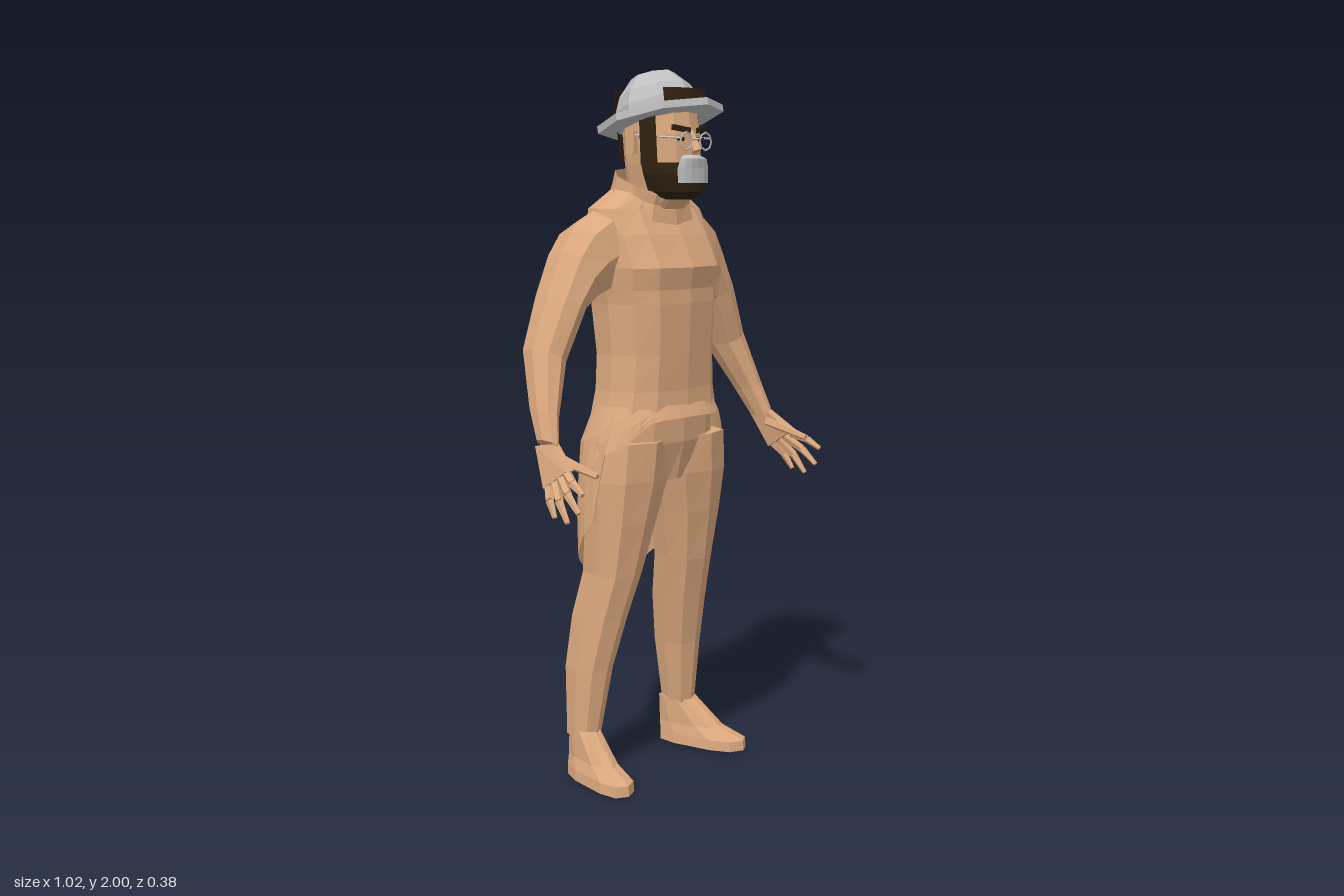
import * as THREE from 'three';
import { ConvexGeometry } from 'three/addons/geometries/ConvexGeometry.js';

const V = (x, y, z) => new THREE.Vector3(x, y, z);
const mat = (name, color, side = THREE.FrontSide) =>
  new THREE.MeshStandardMaterial({ name, color, side });

// Ring spanning inner point (xi,yi) to outer point (xo,yo), front zf to back zb
function ring([xi, yi, xo, yo, zf, zb], n, p = 0.85, a0 = 0, a1 = 360) {
  const full = a1 - a0 === 360, pts = [];
  const pw = (v) => Math.sign(v) * Math.abs(v) ** p;
  for (let i = 0; i < (full ? n : n + 1); i++) {
    const a = (a0 + ((a1 - a0) * i) / n) * Math.PI / 180;
    const t = (1 + pw(Math.sin(a))) / 2;
    pts.push(V(xi + (xo - xi) * t, yi + (yo - yi) * t, (zf + zb) / 2 + pw(Math.cos(a)) * (zf - zb) / 2));
  }
  return pts;
}
// Centred ring from [y, half width, front z, back z]
const sym = ([y, r, zf, zb]) => [-r, y, r, y, zf, zb];

// Faceted skin over a stack of rings, lowest first; s = -1 mirrors it
function loft(rings, { closed = true, caps = closed, s = 1 } = {}) {
  const R = rings.map((r) => {
    const q = r.map((p) => V(p.x * s, p.y, p.z));
    return s < 0 ? q.reverse() : q;
  });
  const out = [], n = R[0].length;
  const tri = (...v) => v.forEach((p) => out.push(p.x, p.y, p.z));
  for (let j = 0; j < R.length - 1; j++)
    for (let i = 0; i < (closed ? n : n - 1); i++) {
      const k = (i + 1) % n, A = R[j], B = R[j + 1];
      tri(A[i], A[k], B[k]);
      tri(A[i], B[k], B[i]);
    }
  if (caps) {
    const lo = R[0], hi = R[R.length - 1];
    for (let i = 1; i < n - 1; i++) {
      tri(lo[0], lo[i + 1], lo[i]);
      tri(hi[0], hi[i], hi[i + 1]);
    }
  }
  const g = new THREE.BufferGeometry();
  g.setAttribute('position', new THREE.Float32BufferAttribute(out, 3));
  g.computeVertexNormals();
  return g;
}

// Flat-shaded tapered rod between two points
function rod(a, b, ra, rb, n = 5) {
  const d = b.clone().sub(a);
  let g = new THREE.CylinderGeometry(rb, ra, d.length(), n);
  g.applyQuaternion(new THREE.Quaternion().setFromUnitVectors(V(0, 1, 0), d.normalize()));
  g.translate((a.x + b.x) / 2, (a.y + b.y) / 2, (a.z + b.z) / 2);
  g = g.toNonIndexed();
  g.computeVertexNormals();
  return g;
}
// Piecewise linear lookup in [key, value] pairs with ascending keys
function lookup(t, x) {
  for (let i = 1; i < t.length; i++)
    if (x <= t[i][0]) {
      const f = Math.max(0, (x - t[i - 1][0]) / (t[i][0] - t[i - 1][0]));
      return t[i - 1][1] + (t[i][1] - t[i - 1][1]) * f;
    }
  return t[t.length - 1][1];
}

export function createModel() {
  const model = new THREE.Group();
  model.name = 'helmetedMan';
  const tan = mat('tan', 0xdba87e), cloth = mat('tanCloth', 0xdba87e, THREE.DoubleSide);
  const dark = mat('darkHair', 0x2e200f, THREE.DoubleSide), grey = mat('grey', 0xc0c0c0, THREE.DoubleSide);
  const add = (name, geo, m, parent = model) => {
    const mesh = new THREE.Mesh(geo, m);
    mesh.name = name;
    parent.add(mesh);
    return mesh;
  };

  // Torso and pelvis
  add('torso', loft([
    [1.04, 0.2, 0.105, -0.16], [1.12, 0.185, 0.1, -0.148], [1.22, 0.178, 0.105, -0.15],
    [1.36, 0.185, 0.112, -0.17], [1.40, 0.192, 0.11, -0.175], [1.46, 0.2, 0.122, -0.185],
    [1.55, 0.2, 0.075, -0.172], [1.62, 0.19, 0.03, -0.155], [1.67, 0.11, 0.02, -0.135],
  ].map((r) => ring(sym(r), 12, 0.75))), tan);
  add('pelvis', loft([
    [0.86, 0.05, 0.06, -0.1], [0.97, 0.2, 0.085, -0.14], [1.07, 0.19, 0.09, -0.14],
  ].map((r) => ring(sym(r), 12))), tan);

  // Coat skirt: short at the front, long rounded tail behind
  const hem = [[0, 1.045], [38, 1.04], [60, 0.98], [80, 0.95], [90, 0.76], [110, 0.68], [140, 0.61], [165, 0.55], [180, 0.53]];
  const width = [[0.53, 0.24], [0.75, 0.25], [0.95, 0.24], [1.08, 0.193]];
  const front = [[0.95, 0.125], [1.04, 0.12], [1.08, 0.1]];
  const back = [[0.53, -0.192], [0.97, -0.188], [1.08, -0.15]];
  const skirt = [0, 0.25, 0.5, 0.75, 1].map((f) => Array.from({ length: 36 }, (_, i) => {
    const h = lookup(hem, Math.min(i, 36 - i) * 10), y = h + (1.08 - h) * f;
    return ring(sym([y, lookup(width, y), lookup(front, y), lookup(back, y)]), 36)[i];
  }));
  add('coatSkirt', loft(skirt, { caps: false }), cloth);

  // Standing collar, higher at the nape
  add('collar', loft([
    [1.6, 0.14, 0.06, -0.14], [1.655, 0.115, 0.055, -0.132], [1.69, 0.112, 0.065, -0.125],
  ].map((r) => ring(sym(r), 10).map((p) => V(p.x, p.y - 0.4 * (p.z + 0.02), p.z))), { caps: false }), cloth);

  // Limbs
  for (const s of [1, -1]) {
    const side = s > 0 ? 'left' : 'right';
    add(side + 'Leg', loft([
      [0.165, 0.12, 0.245, 0.12, -0.065, -0.165], [0.135, 0.32, 0.245, 0.32, -0.035, -0.178],
      [0.105, 0.47, 0.235, 0.47, 0, -0.165], [0.08, 0.6, 0.222, 0.6, 0.035, -0.135],
      [0.045, 0.75, 0.23, 0.75, 0.065, -0.125], [0.01, 0.87, 0.238, 0.87, 0.085, -0.13],
      [0, 0.98, 0.23, 0.98, 0.09, -0.14],
    ].map((r) => ring(r, 8, 0.8)), { s }), tan);
    add(side + 'Foot', loft([
      [0.155, 0, 0.265, 0, 0.107, -0.168], [0.158, 0.03, 0.262, 0.03, 0.105, -0.17],
      [0.165, 0.06, 0.25, 0.06, 0.03, -0.17], [0.165, 0.14, 0.245, 0.14, -0.068, -0.165],
    ].map((r) => ring(r, 10, 0.7).map((p) => V(p.x + 0.2 * (p.z + 0.1), p.y, p.z))), { s }), tan);
    add(side + 'Arm', loft([
      [0.43, 0.99, 0.468, 1.02, 0.04, -0.035], [0.4, 1.07, 0.455, 1.1, 0.015, -0.08],
      [0.33, 1.21, 0.42, 1.25, -0.018, -0.15], [0.26, 1.35, 0.362, 1.39, -0.005, -0.165],
      [0.22, 1.37, 0.303, 1.51, 0, -0.175], [0.18, 1.38, 0.26, 1.575, 0.01, -0.175],
      [0.12, 1.4, 0.2, 1.615, 0.02, -0.16],
    ].map((r) => ring(r, 8)), { s }), tan);

    // Hand: palm wedge, four fingers and a thumb
    const hand = new THREE.Group();
    hand.name = side + 'Hand';
    model.add(hand);
    const palm = [];
    for (const [x, y, z] of [[0.45, 1.01, 0.03], [0.45, 1, -0.03], [0.475, 0.95, 0.11], [0.475, 0.895, 0.025]])
      for (const dx of [-0.015, 0.015]) palm.push(V(s * (x + dx), y, z));
    add('palm', new ConvexGeometry(palm), tan, hand);
    [[0.9, 0.187], [0.85, 0.172], [0.82, 0.132], [0.828, 0.085]].forEach(([y, z], k) => {
      const a = V(s * 0.475, 0.942 - 0.013 * k, 0.1 - 0.022 * k), b = V(s * 0.505, y, z);
      const m = a.clone().lerp(b, 0.5).add(V(s * 0.008, 0.004, 0));
      add('finger', rod(a, m, 0.014, 0.012), tan, hand);
      add('fingertip', rod(m, b, 0.012, 0.007), tan, hand);
    });
    add('thumb', rod(V(s * 0.45, 0.975, 0.03), V(s * 0.443, 0.94, 0.18), 0.017, 0.008), tan, hand);
  }

  // Head with ears and nose
  const head = new THREE.Group();
  head.name = 'head';
  model.add(head);
  const shell = (rows, a0, a1, n = 8) =>
    loft(rows.map((r) => ring(sym(r), n, 0.85, a0, a1)), { closed: false });
  add('skull', loft([
    [1.6, 0.075, 0.04, -0.1], [1.67, 0.075, 0.1, -0.1], [1.74, 0.088, 0.115, -0.105],
    [1.82, 0.092, 0.112, -0.112], [1.93, 0.085, 0.09, -0.105],
  ].map((r) => ring(sym(r), 12))), tan, head);
  add('nose', rod(V(0, 1.83, 0.108), V(0, 1.775, 0.132), 0.008, 0.016, 4), tan, head);

  // Beard, moustache and hair
  add('beard', shell([[1.645, 0.055, 0.1, -0.06], [1.665, 0.08, 0.128, -0.09], [1.715, 0.098, 0.13, -0.1], [1.745, 0.099, 0.122, -0.105]], -88, 88, 10), dark, head);
  add('chin', shell([[1.665, 0.078, 0.125, -0.08], [1.645, 0.055, 0.1, -0.06], [1.645, 0.01, 0.03, 0]], -88, 88), dark, head);
  add('greyBeard', shell([[1.69, 0.098, 0.137, -0.1], [1.73, 0.1, 0.137, -0.1]], -36, 36, 6), grey, head);
  add('moustache', shell([[1.73, 0.1, 0.137, -0.1], [1.755, 0.085, 0.14, -0.1], [1.765, 0.05, 0.13, -0.1]], -36, 36, 6), grey, head);
  add('backHair', shell([[1.75, 0.096, 0.1, -0.115], [1.82, 0.1, 0.1, -0.125], [1.9, 0.105, 0.1, -0.136], [1.945, 0.1, 0.1, -0.132]], 128, 232), dark, head);
  add('frontHair', shell([[1.905, 0.12, 0.122, -0.11], [1.945, 0.115, 0.112, -0.11]], -45, 45), dark, head);
  for (const s of [1, -1]) {
    add('sideburn', shell([[1.74, 0.1, 0.122, -0.105], [1.88, 0.098, 0.11, -0.11]], s > 0 ? 62 : -88, s > 0 ? 88 : -62, 2), dark, head);
    add('ear', new THREE.BoxGeometry(0.016, 0.06, 0.03), tan, head).position.set(s * 0.097, 1.8, -0.022);
    const brow = add('eyebrow', new THREE.BoxGeometry(0.055, 0.014, 0.012), dark, head);
    brow.position.set(s * 0.043, 1.835, 0.112);
    brow.rotation.set(0, s * 0.3, s * 0.15);
    add('eye', new THREE.BoxGeometry(0.024, 0.01, 0.006), dark, head).position.set(s * 0.04, 1.808, 0.108);
    // Spectacles
    const rim = add('spectacleRim', new THREE.TorusGeometry(0.024, 0.003, 4, 8), grey, head);
    rim.position.set(s * 0.04, 1.802, 0.128);
    add('spectacleArm', rod(V(s * 0.063, 1.81, 0.126), V(s * 0.101, 1.82, -0.02), 0.003, 0.003, 4), grey, head);
  }
  add('spectacleBridge', rod(V(-0.017, 1.808, 0.13), V(0.017, 1.808, 0.13), 0.003, 0.003, 4), grey, head);

  // Eight-sided helmet, tipped back
  const helmet = new THREE.Group();
  helmet.name = 'helmet';
  helmet.position.set(0, 1.865, -0.003);
  helmet.rotation.x = -0.25;
  model.add(helmet);
  const oct = (y, r) => ring(sym([y, r, r, -r]), 8, 1);
  add('brim', loft([oct(-0.01, 0.177), oct(0.01, 0.177)]), grey, helmet);
  add('crown', loft([oct(0, 0.122), oct(0.04, 0.118), oct(0.08, 0.1), oct(0.122, 0.06)]), grey, helmet);
  return model;
}
